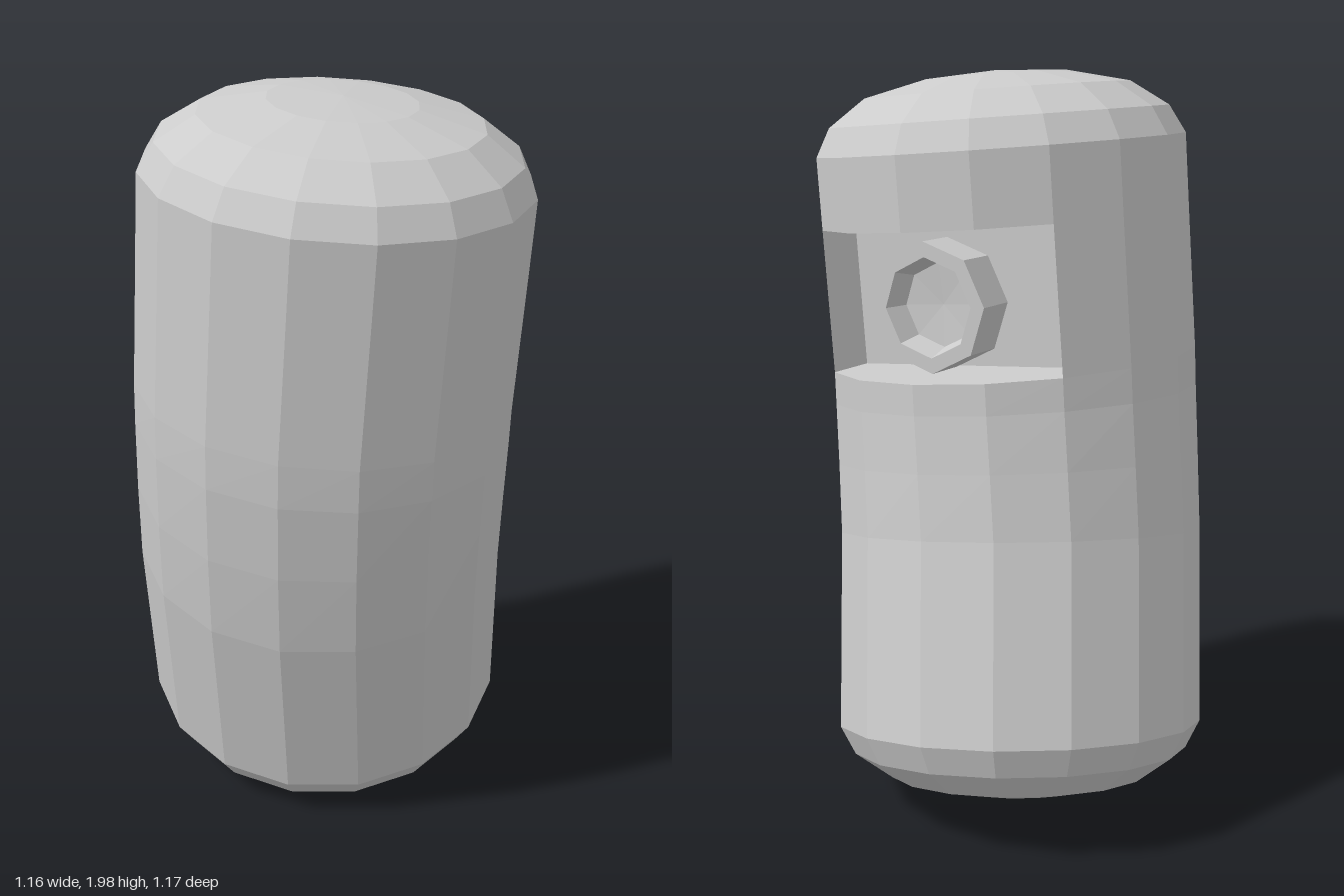
import * as THREE from 'three';

const SIDES = 16, RADIUS = 0.5;
const V = (x, y, z) => new THREE.Vector3(x, y, z);
const makeMaterial = () => new THREE.MeshStandardMaterial({ color: 0xcccccc, flatShading: true, side: THREE.DoubleSide });

// Places a flat profile of [x, z] points square to the body's axis
function place(profile, { c, dir }) {
  const a = dir.clone().normalize();
  const u = V(1, 0, 0).addScaledVector(a, -a.x).normalize();
  const w = u.clone().cross(a);
  return profile.map(([x, z]) => c.clone().addScaledVector(u, x).addScaledVector(w, z));
}

const circle = (r) => Array.from({ length: SIDES }, (_, i) => {
  const t = (i / SIDES) * Math.PI * 2;
  return [r * Math.cos(t), r * Math.sin(t)];
});

// Skins a stack of closed sections, listed from bottom to top
function loft(name, sections) {
  const n = sections[0].length, index = [];
  for (let k = 0; k < sections.length - 1; k++) {
    for (let i = 0; i < n; i++) {
      const a = k * n + i, b = k * n + (i + 1) % n;
      index.push(a, a + n, b, b, a + n, b + n);
    }
  }
  const geometry = new THREE.BufferGeometry().setFromPoints(sections.flat());
  geometry.setIndex(index);
  const flat = geometry.toNonIndexed();
  flat.computeVertexNormals();
  const mesh = new THREE.Mesh(flat, makeMaterial());
  mesh.name = name;
  return mesh;
}

export function createModel() {
  const model = new THREE.Group();
  model.name = 'bentCapsule';

  // Stations along the bent axis
  const st = (c, dir) => ({ c: V(...c), dir: V(...dir) });
  const bottom = st([-0.085, 0.24, -0.09], [0.13, 1, 0.2]);
  const bend = [
    st([-0.015, 0.75, 0.03], [0.12, 1, 0.18]),
    st([0.01, 0.95, 0.06], [0.1, 1, 0.11]),
    st([0.03, 1.13, 0.08], [0.085, 1, 0.04]),
  ];
  const floor = st([0.037, 1.23, 0.085], [0.08, 1, 0]);
  const ceiling = st([0.066, 1.61, 0.085], [0.08, 1, 0]);
  const top = st([0.08, 1.8, 0.085], [0.08, 1, 0]);

  // Rounded ends: [distance past the station, radius]
  const dome = [[0.075, 0.46], [0.145, 0.36], [0.185, 0.19], [0.197, 0]];
  const domeRings = (s, sign) => dome.map(([h, r]) => place(circle(r), {
    c: s.c.clone().addScaledVector(s.dir.clone().normalize(), h * sign), dir: s.dir,
  }));
  const ring = (s, r = RADIUS) => place(circle(r), s);

  // Lower body, closed by the recess floor
  model.add(loft('lowerBody', [
    ...domeRings(bottom, -1).reverse(), ring(bottom), ...bend.map((s) => ring(s)), ring(floor), ring(floor, 0),
  ]));

  // Middle body with a square recess cut into the back
  const notched = circle(RADIUS).filter((_, i) => i <= 10 || i >= 14);
  const corner = RADIUS * Math.SQRT1_2, wall = -0.205;
  notched.splice(11, 0, [-corner, wall], [corner, wall]);
  model.add(loft('recessedBody', [place(notched, floor), place(notched, ceiling)]));

  // Upper body, closed below by the recess ceiling
  model.add(loft('upperBody', [ring(ceiling, 0), ring(ceiling), ring(top), ...domeRings(top, 1)]));

  // Eight-sided lens housing with a hollow front, on a short stem
  const profile = [[0, -0.01], [0.1, -0.01], [0.1, 0.08], [0.17, 0.08], [0.17, 0.195], [0.13, 0.195], [0.11, 0.13], [0, 0.12]];
  const lensGeometry = new THREE.LatheGeometry(profile.map(([r, y]) => new THREE.Vector2(r, y)), 8);
  lensGeometry.rotateX(-Math.PI / 2);
  const lens = new THREE.Mesh(lensGeometry, makeMaterial());
  lens.name = 'lens';
  lens.position.set(0.055, 1.41, -0.12);
  lens.rotation.z = -0.08;
  model.add(lens);

  return model;
}
